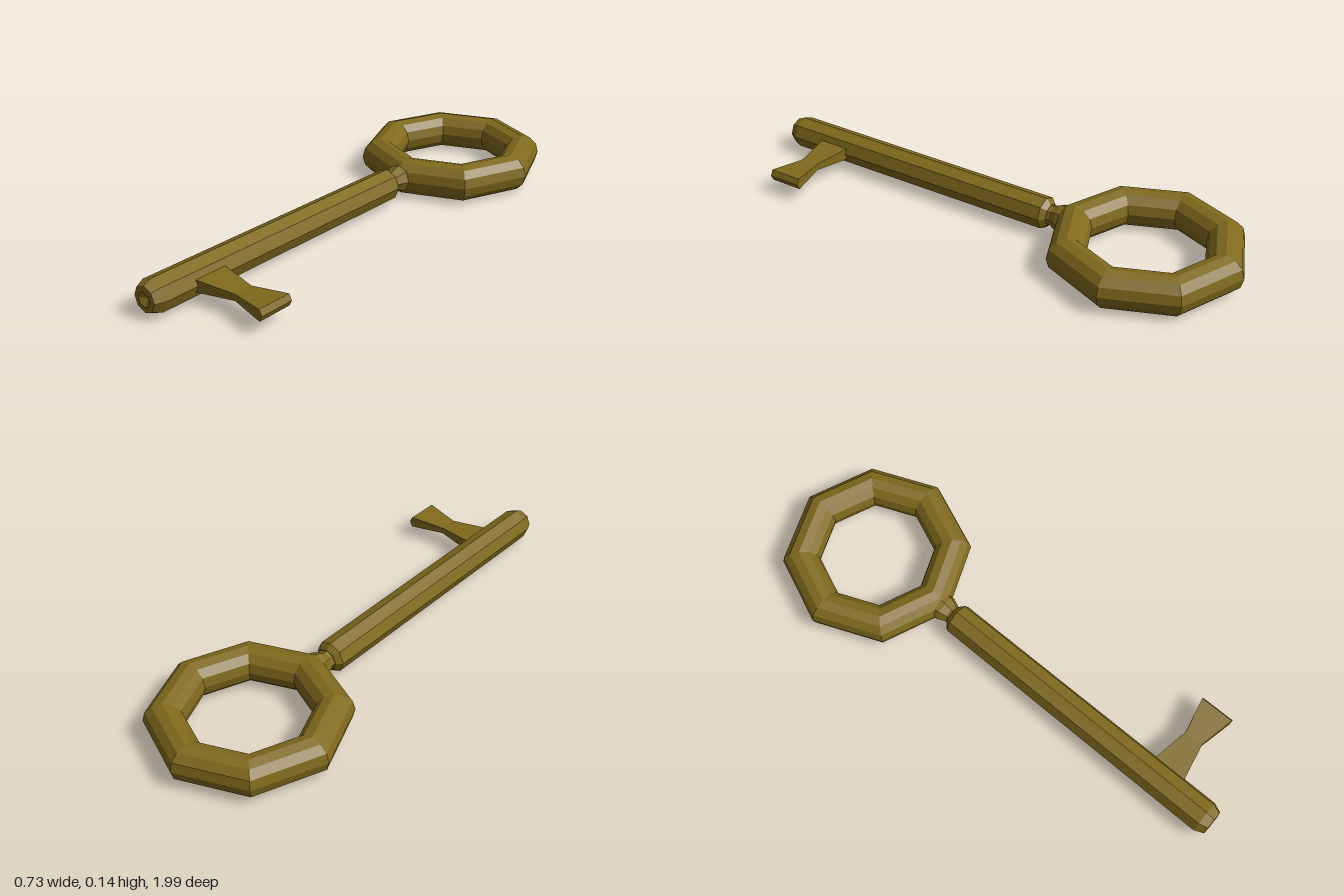
import * as THREE from 'three';

const brass = new THREE.MeshStandardMaterial({ color: 0x806a1c, flatShading: true });
const MID = 0.073; // height of the key's centre plane

function add(group, name, geometry) {
  const mesh = new THREE.Mesh(geometry, brass);
  mesh.name = name;
  group.add(mesh);
  return mesh;
}

// Eight-sided turned part along z, from [radius, z] pairs, leaning slightly to -x
function turned(profile) {
  const geo = new THREE.LatheGeometry(profile.map(([r, z]) => new THREE.Vector2(r, z)), 8);
  geo.rotateX(Math.PI / 2);
  const p = geo.attributes.position;
  for (let i = 0; i < p.count; i++) {
    p.setX(i, p.getX(i) - 0.005 - 0.006 * p.getZ(i));
  }
  return geo;
}

export function createModel() {
  const key = new THREE.Group();
  key.name = 'key';

  // Octagonal ring handle
  const ring = new THREE.TorusGeometry(0.293, 0.072, 12, 8);
  ring.rotateX(Math.PI / 2);
  add(key, 'ringHandle', ring).position.set(0, MID, -0.635);

  // Waisted neck between ring and shaft
  add(key, 'neck', turned([[0.056, -0.31], [0.052, -0.28], [0.038, -0.25], [0.04, -0.235], [0.05, -0.22]]))
    .position.y = MID;

  // Shaft with chamfered, slightly dished tip
  add(key, 'shaft', turned([
    [0, -0.24], [0.042, -0.24], [0.062, -0.22], [0.064, 0.955],
    [0.049, 0.99], [0.028, 0.992], [0, 0.975],
  ])).position.y = MID;

  // Bit: a bar pinched at its middle, with a ridged outer end
  const bit = new THREE.BoxGeometry(2, 2, 2, 2, 2, 1);
  const stations = [
    { x: 0.02, h: 0.025, z0: 0.685, z1: 0.825 },
    { x: 0.195, h: 0.0125, z0: 0.715, z1: 0.79 },
    { x: 0.335, h: 0.022, z0: 0.685, z1: 0.82 },
  ];
  const p = bit.attributes.position;
  for (let i = 0; i < p.count; i++) {
    const s = stations[Math.round(p.getX(i)) + 1];
    const y = p.getY(i);
    const ridge = s === stations[2] && Math.abs(y) < 0.5 ? 0.011 : 0;
    p.setXYZ(i, s.x + ridge, 0.071 + y * s.h, p.getZ(i) > 0 ? s.z1 : s.z0);
  }
  add(key, 'bit', bit);

  return key;
}
